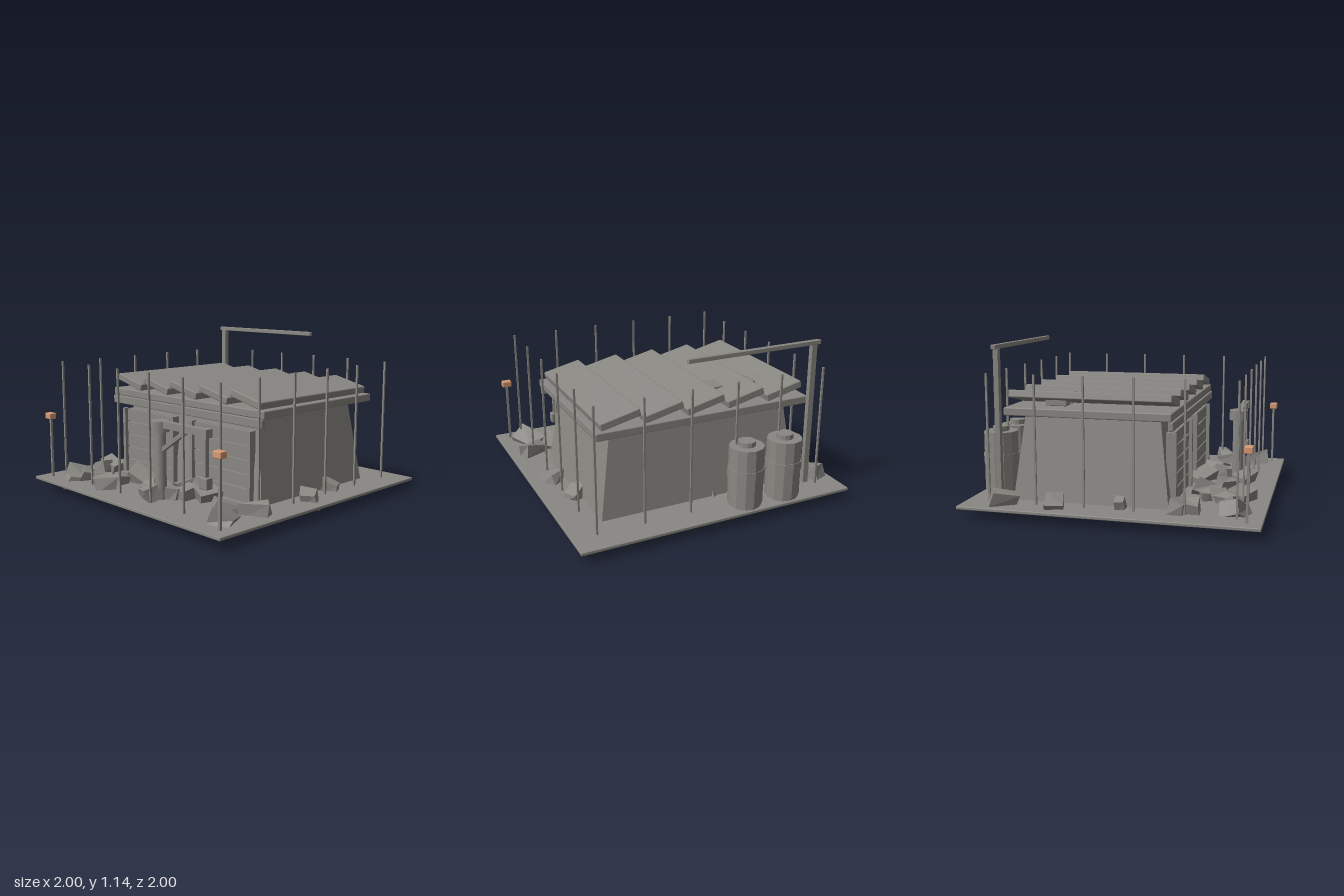
import * as THREE from 'three';
import { RoundedBoxGeometry } from 'three/addons/geometries/RoundedBoxGeometry.js';

const concrete = new THREE.MeshStandardMaterial({ color: 0x8a8883 });
concrete.name = 'concrete grey';
const lampOrange = new THREE.MeshStandardMaterial({ color: 0xd69a74 });
lampOrange.name = 'lamp orange';

// Seeded random numbers for the rubble
let seed = 7;
const rand = () => {
  seed = (seed * 16807) % 2147483647;
  return seed / 2147483647;
};
const spread = (a) => (rand() * 2 - 1) * a;

function add(parent, name, geometry, x, y, z, material = concrete) {
  const mesh = new THREE.Mesh(geometry, material);
  mesh.name = name;
  mesh.position.set(x, y, z);
  parent.add(mesh);
  return mesh;
}

// Box given by its limits on each axis
function span(parent, name, [x0, x1], [y0, y1], [z0, z1], bevel = 0) {
  const size = [x1 - x0, y1 - y0, z1 - z0];
  const geometry = bevel ? new RoundedBoxGeometry(...size, 1, bevel) : new THREE.BoxGeometry(...size);
  return add(parent, name, geometry, (x0 + x1) / 2, (y0 + y1) / 2, (z0 + z1) / 2);
}

function flat(geometry) {
  const g = geometry.toNonIndexed();
  g.computeVertexNormals();
  return g;
}

// Broken block: a box whose eight corners are pushed about
function chunkGeometry(w, h, d) {
  const box = new THREE.BoxGeometry(w, h, d);
  const p = box.attributes.position;
  const shifts = Array.from({ length: 8 }, () => [spread(0.12), spread(0.15), spread(0.12)]);
  for (let i = 0; i < p.count; i++) {
    const corner = (p.getX(i) > 0 ? 1 : 0) + (p.getY(i) > 0 ? 2 : 0) + (p.getZ(i) > 0 ? 4 : 0);
    const s = shifts[corner];
    p.setXYZ(i, p.getX(i) + s[0] * w, p.getY(i) + s[1] * h, p.getZ(i) + s[2] * d);
  }
  return flat(box);
}

function addHut(root) {
  const hut = new THREE.Group();
  hut.name = 'hut';
  root.add(hut);

  // Walls lean inwards towards the roof
  const walls = new THREE.BoxGeometry(1, 1, 1);
  const p = walls.attributes.position;
  for (let i = 0; i < p.count; i++) {
    const top = p.getY(i) > 0;
    const front = p.getZ(i) > 0;
    p.setXYZ(i, Math.sign(p.getX(i)) * (top ? 0.655 : 0.745), top ? 0.68 : 0.09,
      front ? (top ? 0.305 : 0.38) : (top ? -0.63 : -0.695));
  }
  add(hut, 'walls', flat(walls), 0, 0, 0);

  // Two slatted shutters between upright guides
  for (const side of [-1, 1]) {
    for (let i = 0; i < 5; i++) {
      const y = 0.1 + i * 0.097;
      const slat = span(hut, 'shutterSlat', [-0.27, 0.27], [y, y + 0.088], [0.365, 0.39]);
      slat.position.x = side * 0.38;
    }
    span(hut, 'shutterBack', [side * 0.38 - 0.27, side * 0.38 + 0.27], [0.09, 0.58], [0.34, 0.37]);
    for (const x of [0.1, 0.66]) {
      span(hut, 'shutterGuide', [side * x - 0.014, side * x + 0.014], [0.09, 0.585], [0.377, 0.415]);
    }
  }

  // Roof slab and front lintel
  span(hut, 'roofSlab', [-0.79, 0.785], [0.675, 0.73], [-0.735, 0.405], 0.008);
  span(hut, 'lintel', [-0.785, 0.775], [0.615, 0.675], [0.38, 0.416], 0.006);

  // Overlapping tilted roof panels
  for (let i = 0; i < 5; i++) {
    const panel = add(hut, 'roofPanel', new RoundedBoxGeometry(0.28, 0.052, 1.115, 1, 0.008),
      (i - 2) * 0.304, 0.787, -0.16);
    panel.rotation.z = -0.228;
  }

  // Small roof vents
  for (const x of [-0.607, -0.472, -0.34, -0.213]) {
    span(hut, 'roofVent', [x - 0.045, x + 0.045], [0.73, 0.808], [-0.49, -0.34], 0.006);
  }
}

function addDrum(root, x) {
  const drum = new THREE.Group();
  drum.name = 'drum';
  drum.position.set(x, 0, -0.875);
  root.add(drum);
  const ring = (name, r, y0, y1) =>
    add(drum, name, flat(new THREE.CylinderGeometry(r, r, y1 - y0, 12)), 0, (y0 + y1) / 2, 0);
  ring('drumBody', 0.119, 0.11, 0.522);
  ring('drumFoot', 0.11, 0.09, 0.115);
  ring('drumBand', 0.124, 0.3, 0.37);
  ring('drumCap', 0.058, 0.52, 0.556);
}

function addHoist(root) {
  const hoist = new THREE.Group();
  hoist.name = 'hoist';
  hoist.position.set(0.132, 0, 0.715);
  root.add(hoist);
  add(hoist, 'hoistColumn', new THREE.CylinderGeometry(0.04, 0.042, 0.48, 12), 0, 0.33, 0);
  add(hoist, 'hoistHead', new THREE.CylinderGeometry(0.067, 0.067, 0.072, 12), 0, 0.592, 0);
  span(hoist, 'hoistArm', [0, 0.46], [0.585, 0.63], [-0.023, 0.023]);
  span(hoist, 'armEnd', [0.415, 0.478], [0.578, 0.632], [-0.028, 0.028]);
  const brace = add(hoist, 'hoistBrace', new THREE.BoxGeometry(0.29, 0.028, 0.028), 0.135, 0.505, 0);
  brace.rotation.z = 0.58;
  span(hoist, 'hangingRod', [0.43, 0.461], [0.3, 0.59], [-0.015, 0.015]);
  span(hoist, 'hangingBlock', [0.409, 0.482], [0.245, 0.322], [-0.028, 0.028], 0.007);
}

function addRubble(root) {
  const rubble = new THREE.Group();
  rubble.name = 'rubble';
  root.add(rubble);
  // x, z, width, depth, turn
  const blocks = [
    [-0.865, -0.72, 0.11, 0.17, 0.5], [-0.85, -0.37, 0.15, 0.13, 0.4], [-0.79, 0.07, 0.08, 0.06, 0],
    [0.78, -0.28, 0.12, 0.11, 0.6], [0.85, 0.02, 0.11, 0.13, 0.6], [-0.765, 0.46, 0.2, 0.09, -0.15],
    [-0.765, 0.54, 0.11, 0.09, 0], [-0.72, 0.82, 0.17, 0.13, -0.5], [-0.635, 0.76, 0.08, 0.13, -0.3],
    [-0.52, 0.73, 0.1, 0.13, -0.8], [-0.38, 0.8, 0.17, 0.14, -0.5], [-0.37, 0.67, 0.08, 0.1, 0.1],
    [-0.44, 0.575, 0.09, 0.07, 0.4], [-0.305, 0.54, 0.18, 0.15, 0.15], [0.1, 0.46, 0.2, 0.13, -0.5],
    [-0.06, 0.66, 0.16, 0.09, -0.7], [0.1, 0.77, 0.18, 0.1, -0.4], [0.19, 0.66, 0.09, 0.09, 0.4],
    [0.255, 0.595, 0.1, 0.12, 0], [0.39, 0.52, 0.11, 0.15, -0.4], [0.82, 0.53, 0.2, 0.09, 0.4],
    [0.66, 0.62, 0.1, 0.17, -0.6], [0.79, 0.76, 0.14, 0.2, 0.5],
  ];
  for (const [x, z, w, d, turn] of blocks) {
    const block = add(rubble, 'rubbleBlock', chunkGeometry(w, 0.1, d), x, 0.115 + spread(0.012), z);
    block.rotation.set(spread(0.4), turn, spread(0.45), 'YXZ');
  }
  // Half-buried pieces under the hut
  for (let i = 0; i < 24; i++) {
    const x = -0.6 + (i % 6) * 0.24 + spread(0.07);
    const z = -0.58 + Math.floor(i / 6) * 0.26 + spread(0.06);
    const block = add(rubble, 'buriedBlock', chunkGeometry(0.13, 0.1, 0.1), x, 0.1, z);
    block.rotation.set(spread(0.45), spread(3), spread(0.45), 'YXZ');
  }
}

export function createModel() {
  const root = new THREE.Group();
  root.name = 'ruinedHut';

  span(root, 'groundPlate', [-1, 1], [0.07, 0.093], [-1, 1], 0.006);
  addHut(root);
  addRubble(root);
  addHoist(root);
  addDrum(root, -0.52);
  addDrum(root, -0.222);

  // Gantry at the back
  span(root, 'gantryPost', [-0.797, -0.757], [0.09, 1.12], [-0.795, -0.76]);
  span(root, 'gantryBeam', [-0.825, 0.177], [1.115, 1.145], [-0.798, -0.764], 0.004);

  // Thin poles around the edge
  const pole = new THREE.BoxGeometry(0.013, 0.88, 0.013);
  for (let i = 0; i < 6; i++) {
    for (let j = 0; j < 6; j++) {
      if (i % 5 && j % 5) continue;
      add(root, 'fencePole', pole, -0.832 + i * 0.333, 0.52, -0.832 + j * 0.333);
    }
  }

  // Marker lamps at the front corners
  for (const x of [-0.905, 0.905]) {
    span(root, 'lampPost', [x - 0.008, x + 0.008], [0.09, 0.535], [0.897, 0.913]);
    add(root, 'lamp', new RoundedBoxGeometry(0.07, 0.045, 0.055, 1, 0.007), x, 0.553, 0.907, lampOrange);
  }

  // Rest the lowest rubble on y = 0
  root.updateMatrixWorld(true);
  const low = new THREE.Box3().setFromObject(root, true).min.y;
  root.children.forEach((part) => { part.position.y -= low; });
  return root;
}
